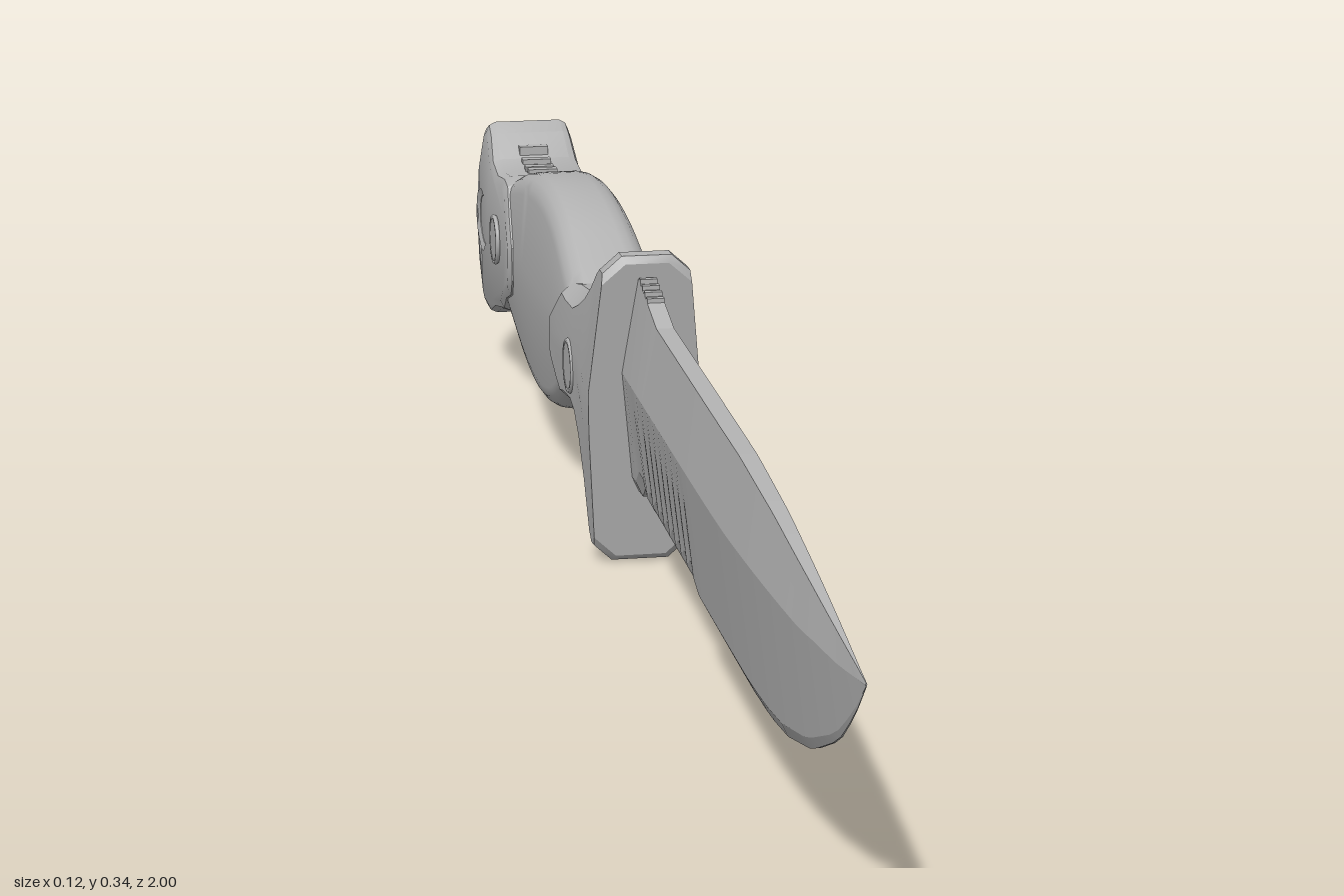
import * as THREE from 'three';
import { toCreasedNormals } from 'three/addons/utils/BufferGeometryUtils.js';

const steel = new THREE.MeshStandardMaterial({ color: 0xb4b4b4 });
steel.name = 'grey steel';

// Piecewise linear lookup through [position, value] pairs
function lookup(table, t) {
  if (t <= table[0][0]) return table[0][1];
  for (let i = 1; i < table.length; i++) {
    const [a, va] = table[i - 1], [b, vb] = table[i];
    if (t <= b) return va + (vb - va) * (t - a) / (b - a);
  }
  return table[table.length - 1][1];
}

// Half thickness of the handle at height y
const halfWidth = y => lookup([[0, 0.049], [0.17, 0.06], [0.21, 0.06], [0.34, 0.045]], y);

// Mirror the right half of a section (listed bottom to top) into a full ring
const mirrorRing = half => [...half, ...half.slice().reverse().map(([x, y, z]) => [-x, y, z])];

// Skin closed rings ordered from front (+z) to back, with fan caps
function loft(rings, crease) {
  const n = rings[0].length, last = rings.length - 1;
  const pos = rings.flat(2), idx = [];
  for (let i = 0; i < last; i++) for (let j = 0; j < n; j++) {
    const k = (j + 1) % n, a = i * n + j, b = i * n + k, d = a + n, c = b + n;
    idx.push(a, d, b, b, d, c);
  }
  for (const end of [0, last]) {
    const centre = [0, 1, 2].map(c => rings[end].reduce((s, p) => s + p[c], 0) / n);
    const m = pos.length / 3;
    pos.push(...centre);
    for (let j = 0; j < n; j++) {
      const a = end * n + j, b = end * n + (j + 1) % n;
      if (end === 0) idx.push(m, a, b); else idx.push(m, b, a);
    }
  }
  const g = new THREE.BufferGeometry();
  g.setAttribute('position', new THREE.Float32BufferAttribute(pos, 3));
  g.setIndex(idx);
  return toCreasedNormals(g, crease);
}

// Handle section with cut or rounded corners; shear leans it along z
function handleRing(z, bot, top, inset, r, steps, shear = 0) {
  const half = [];
  const add = (y, cut) => half.push([halfWidth(y) - inset - cut, y, z + shear * (y - 0.19)]);
  for (let i = 0; i <= steps; i++) {
    const t = i / steps * Math.PI / 2;
    add(bot + r * (1 - Math.cos(t)), r * (1 - Math.sin(t)));
  }
  const h = top - bot - 2 * r;
  add(bot + r + h * 0.42, 0);
  add(bot + r + h * 0.58, 0);
  for (let i = steps; i >= 0; i--) {
    const t = i / steps * Math.PI / 2;
    add(top - r * (1 - Math.cos(t)), r * (1 - Math.sin(t)));
  }
  return mirrorRing(half);
}

function bladeGeometry() {
  const spine = [[-0.08, 0.324], [-0.03, 0.314], [0.06, 0.293], [0.5, 0.288], [0.65, 0.279], [0.8, 0.264], [1, 0.242]];
  const edge = [[0.28, 0.078], [0.55, 0.077], [0.63, 0.08], [0.7, 0.088], [0.8, 0.112], [0.9, 0.156], [0.96, 0.2], [1, 0.239]];
  const edgeY = z => {
    if (z >= 0.28) return lookup(edge, z);
    if (z > 0.02) return 0.087 + 0.013 * Math.abs(Math.sin((0.28 - z) / 0.26 * Math.PI * 8));
    return lookup([[-0.08, 0.08], [-0.055, 0.082], [-0.035, 0.1], [-0.01, 0.1], [0.02, 0.087]], z);
  };
  const zs = [];
  for (let i = 0; i <= 24; i++) zs.push(1 - 0.72 * i / 24);
  for (let i = 0; i <= 64; i++) zs.push(0.279 - 0.26 * i / 64);
  zs.push(0.005, -0.01, -0.022, -0.035, -0.045, -0.055, -0.08);
  return loft(zs.map(z => {
    const top = lookup(spine, z), bot = edgeY(z), h = top - bot;
    const w = Math.max(0.03, 1 - Math.max(0, (z - 0.3) / 0.7) ** 2.5);
    const ridge = Math.min(lookup([[0.5, 0.215], [0.8, 0.222], [1, 0.2405]], z), top - h * 0.25);
    return mirrorRing([
      [0.003 * w, bot, z], [0.011 * w, bot + h * 0.07, z],
      [0.024 * w, ridge, z], [0.009 * w, top, z],
    ]);
  }), 0.12);
}

// Guard and front bolster: z, bottom, top, corner, lean
function guardGeometry() {
  return loft([
    [-0.065, 0.008, 0.334, 0.022, 0.13], [-0.07, 0.002, 0.342, 0.018, 0.13],
    [-0.088, 0, 0.342, 0.018, 0.13], [-0.1, 0.01, 0.334, 0.018, 0.13],
    [-0.12, 0.065, 0.314, 0.018, 0.13], [-0.145, 0.105, 0.294, 0.018, 0.1],
    [-0.17, 0.127, 0.28, 0.018, 0.05], [-0.2, 0.134, 0.268, 0.018, 0],
    [-0.25, 0.13, 0.263, 0.016, 0], [-0.275, 0.13, 0.258, 0.01, 0],
    [-0.3, 0.143, 0.236, 0.005, 0], [-0.332, 0.159, 0.212, 0.004, 0],
    [-0.338, 0.165, 0.205, 0.006, 0],
  ].map(([z, b, t, r, s]) => handleRing(z, b, t, 0.001, r, 1, s)), 0.45);
}

function gripGeometry() {
  const top = new THREE.SplineCurve([[-0.23, 0.255], [-0.3, 0.277], [-0.4, 0.304], [-0.5, 0.313], [-0.6, 0.305], [-0.7, 0.283], [-0.78, 0.255]].map(p => new THREE.Vector2(...p)));
  const bot = new THREE.SplineCurve([[-0.23, 0.14], [-0.3, 0.122], [-0.4, 0.082], [-0.5, 0.064], [-0.6, 0.07], [-0.7, 0.095], [-0.78, 0.118]].map(p => new THREE.Vector2(...p)));
  const rings = [];
  for (let i = 0; i <= 30; i++) {
    const a = top.getPoint(i / 30), b = bot.getPoint(i / 30);
    rings.push(handleRing(a.x, b.y, a.y, 0.006, 0.025, 4));
  }
  return loft(rings, 0.9);
}

// Pommel plate with a lanyard hole, thinned towards top and bottom
function pommelGeometry() {
  const shape = new THREE.Shape([
    [-0.65, 0.165], [-0.65, 0.207], [-0.685, 0.235], [-0.72, 0.266], [-0.75, 0.269], [-0.8, 0.262],
    [-0.845, 0.268], [-0.88, 0.292], [-0.905, 0.301], [-0.93, 0.29], [-0.945, 0.24], [-0.942, 0.185],
    [-0.945, 0.125], [-0.932, 0.08], [-0.915, 0.069], [-0.88, 0.07], [-0.83, 0.088], [-0.745, 0.107],
    [-0.715, 0.127], [-0.67, 0.142],
  ].map(p => new THREE.Vector2(...p)));
  shape.holes.push(new THREE.Path().absarc(-0.895, 0.183, 0.026, 0, Math.PI * 2, true));
  const b = 0.012, half = 0.059;
  const g = new THREE.ExtrudeGeometry(shape, {
    depth: 2 * (half - b), bevelSize: b, bevelThickness: b, bevelOffset: -b, bevelSegments: 2, curveSegments: 20,
  });
  g.translate(0, 0, b - half).rotateY(-Math.PI / 2);
  const p = g.attributes.position;
  for (let i = 0; i < p.count; i++) p.setX(i, p.getX(i) * halfWidth(p.getY(i)) / 0.06);
  return toCreasedNormals(g, 0.5);
}

export function createModel() {
  const model = new THREE.Group();
  model.name = 'knife';
  const add = (name, geometry, x = 0, y = 0, z = 0) => {
    const mesh = new THREE.Mesh(geometry, steel);
    mesh.name = name;
    mesh.position.set(x, y, z);
    model.add(mesh);
    return mesh;
  };

  add('blade', bladeGeometry());
  add('guard', guardGeometry());
  add('grip', gripGeometry());
  add('pommel', pommelGeometry());

  // Thumb notches on the spine just ahead of the guard
  for (let i = 0; i < 4; i++) {
    const z = -0.04 + i * 0.014;
    add('spineNotch', new THREE.BoxGeometry(0.018, 0.01, 0.007), 0, 0.315 - (z + 0.04) * 0.23, z);
  }

  // Bolts through the handle, with a raised rim on each side
  for (const z of [-0.2, -0.775]) {
    add('bolt', new THREE.CylinderGeometry(0.027, 0.027, 0.121, 24), 0, 0.187, z).rotation.z = Math.PI / 2;
    for (const side of [-1, 1]) {
      add('boltRim', new THREE.TorusGeometry(0.027, 0.003, 6, 24), side * 0.0585, 0.187, z).rotation.y = Math.PI / 2;
    }
  }

  // Grip ribs on the top and bottom of both bolsters
  const ribs = [
    [-0.15, 0.286], [-0.175, 0.277], [-0.2, 0.267], [-0.225, 0.264],
    [-0.15, 0.095], [-0.17, 0.125], [-0.195, 0.134], [-0.22, 0.133],
    [-0.78, 0.264], [-0.805, 0.262], [-0.83, 0.265], [-0.855, 0.275],
    [-0.78, 0.1], [-0.805, 0.095], [-0.83, 0.089], [-0.855, 0.08],
  ];
  for (const [z, y] of ribs) add('rib', new THREE.BoxGeometry(0.034, 0.012, 0.012), 0, y, z);

  // Faceted spike on the end of the pommel
  const profile = [[0.03, 0], [0.041, 0.018], [0.041, 0.026], [0.001, 0.065]].map(p => new THREE.Vector2(...p));
  const spike = toCreasedNormals(new THREE.LatheGeometry(profile, 6), 0.1);
  add('spike', spike, 0, 0.185, -0.935).rotation.x = -Math.PI / 2;

  return model;
}
